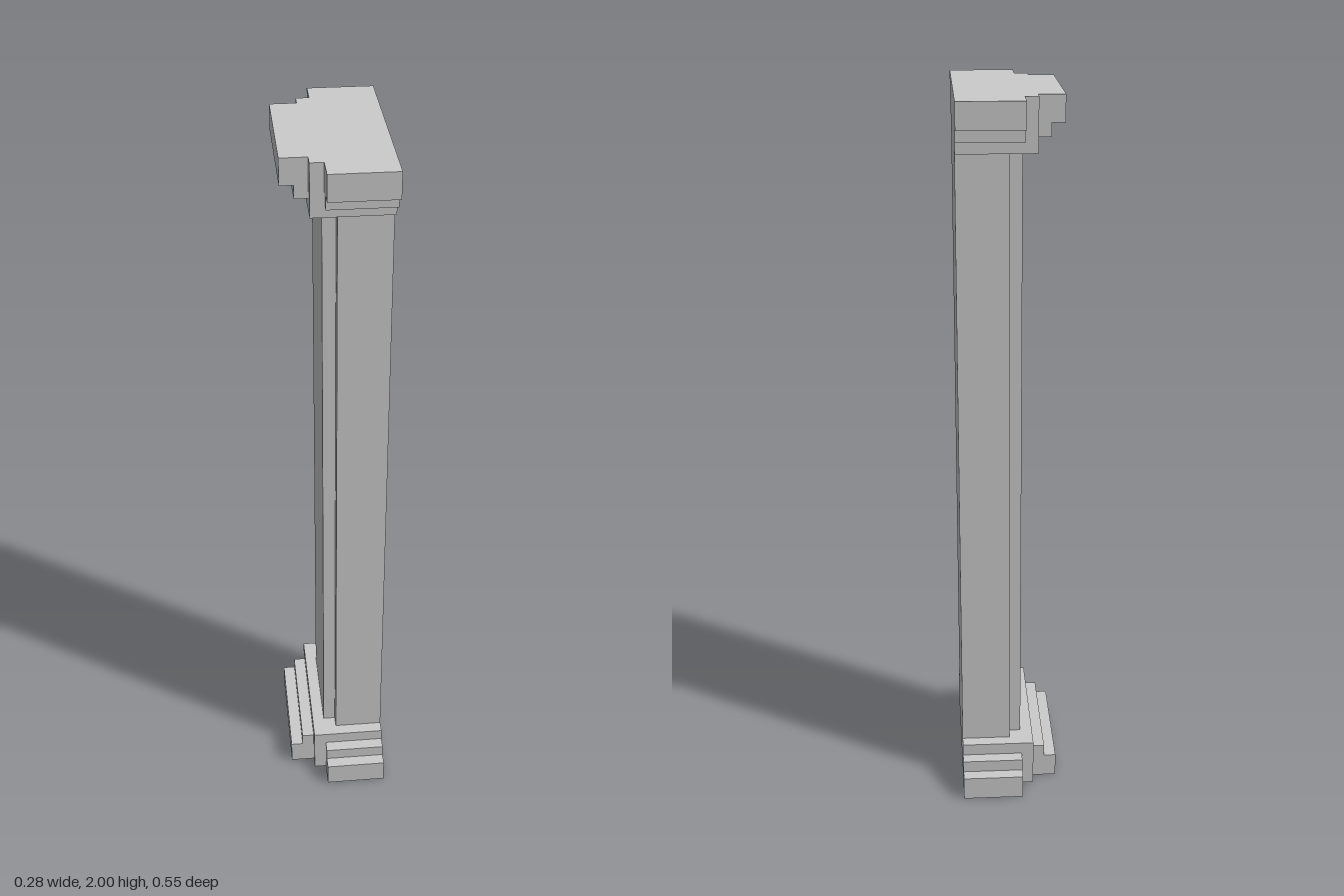
import * as THREE from 'three';

const U = 2 / 58; // modular unit: the pilaster is 58 units tall
const material = new THREE.MeshStandardMaterial({ color: 0xcccccc, flatShading: true });

// Extrudes a plan from y0 to y1; half lists [x, z] corners on the +z side, mirrored to -z
function slab(name, half, y0, y1) {
  const mirrored = half.map(([x, z]) => [x, -z]).reverse();
  const points = [...half, ...mirrored].map(([x, z]) => new THREE.Vector2(x * U, z * U));
  const geometry = new THREE.ExtrudeGeometry(new THREE.Shape(points), {
    depth: (y1 - y0) * U, bevelEnabled: false,
  });
  geometry.rotateX(-Math.PI / 2).translate(0, y0 * U, 0);
  const mesh = new THREE.Mesh(geometry, material);
  mesh.name = name;
  return mesh;
}

// Moulding plan: a corner block with arms that reach k units beyond it on three sides
const mouldingPlan = (k) => k === 0
  ? [[4, 6], [-2, 6]]
  : [[4, 6 + k], [-1, 6 + k], [-1, 6], [-2, 6], [-2, 5], [-2 - k, 5]];

export function createModel() {
  const model = new THREE.Group();
  model.name = 'pilaster';

  // Shaft with notched corners on the stepped side and a flat wall side
  model.add(slab('shaft', [[4, 5], [0, 5], [0, 4], [-1, 4]], 4, 54));

  // Stepped base, and the capital as its reflection
  const base = new THREE.Group();
  base.name = 'base';
  const capital = new THREE.Group();
  capital.name = 'capital';
  const steps = [[2, 0, 2], [1, 2, 3], [0, 3, 4]]; // reach, bottom, top
  for (const [reach, y0, y1] of steps) {
    base.add(slab('baseStep', mouldingPlan(reach), y0, y1));
    capital.add(slab('capitalStep', mouldingPlan(reach), 58 - y1, 58 - y0));
  }
  model.add(base, capital);
  return model;
}
